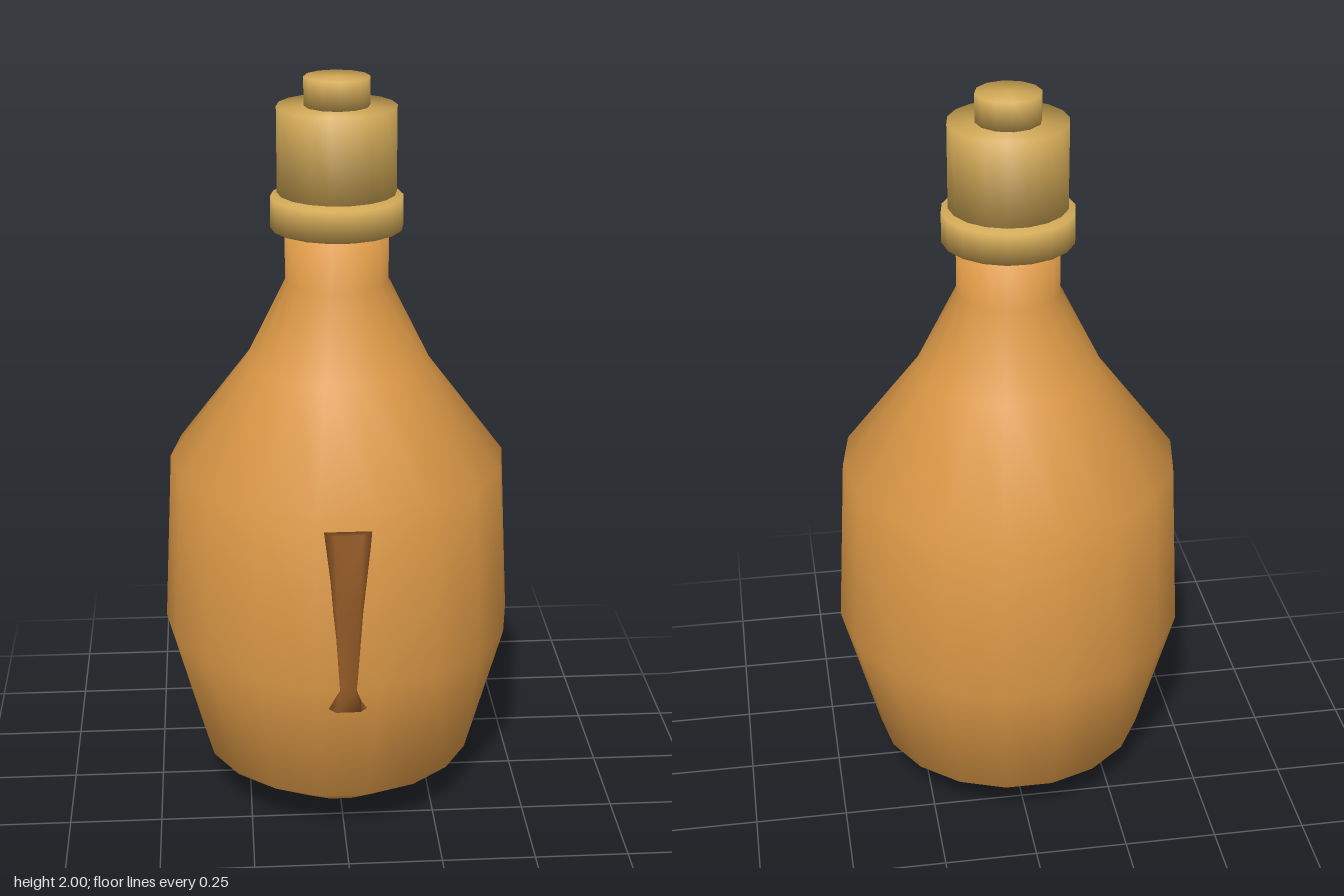
import * as THREE from 'three';

const material = (name, color, side = THREE.FrontSide) => {
  const m = new THREE.MeshStandardMaterial({ color, side });
  m.name = name;
  return m;
};

// Smooth turned part; a corner of the polygon lies on the x axis
function turned(name, profile, sides, mat) {
  const points = profile.map(([r, y]) => new THREE.Vector2(r, y));
  const start = Math.PI / 2;
  const mesh = new THREE.Mesh(new THREE.LatheGeometry(points, sides, start), mat);
  mesh.name = name;
  return mesh;
}

const drum = (r, y0, y1) => [[0, y0], [r, y0], [r, y1], [0, y1]];

// Raised mark lofted from trapezoid sections, wide at the back and narrow in front
function raisedMark(mat) {
  const sections = [[0.44, 0.058], [0.50, 0.036], [0.72, 0.05], [0.94, 0.065]];
  const back = 0.44, front = 0.47;
  const pos = [], index = [];
  for (const [y, w] of sections) {
    pos.push(-w, y, back, -w * 0.55, y, front, w * 0.55, y, front, w, y, back);
  }
  for (let i = 0; i < sections.length - 1; i++) {
    for (let j = 0; j < 4; j++) {
      const a = i * 4 + j, b = i * 4 + (j + 1) % 4;
      index.push(a, b, b + 4, a, b + 4, a + 4);
    }
  }
  const t = (sections.length - 1) * 4;
  index.push(0, 2, 1, 0, 3, 2, t, t + 1, t + 2, t, t + 2, t + 3);
  const geo = new THREE.BufferGeometry();
  geo.setAttribute('position', new THREE.Float32BufferAttribute(pos, 3));
  geo.setIndex(index);
  geo.computeVertexNormals();
  const mesh = new THREE.Mesh(geo, mat);
  mesh.name = 'frontMark';
  return mesh;
}

export function createModel() {
  const amber = material('amber glass', 0xdb9846);
  const cork = material('pale cork', 0xd2a957);
  const brown = material('dark brown', 0x935a27, THREE.DoubleSide);

  const bottle = new THREE.Group();
  bottle.name = 'bottle';

  // Body from base to neck
  bottle.add(turned('body', [
    [0, 0], [0.175, 0], [0.373, 0.13], [0.474, 0.505], [0.449, 0.98],
    [0.245, 1.25], [0.136, 1.47], [0.136, 1.605], [0, 1.605],
  ], 18, amber));

  // Neck collar, stopper and its knob
  bottle.add(turned('collar', drum(0.173, 1.61, 1.692), 18, cork));
  bottle.add(turned('stopper', drum(0.155, 1.702, 1.926), 18, cork));
  bottle.add(turned('stopperKnob', drum(0.085, 1.926, 2), 12, cork));

  bottle.add(raisedMark(brown));
  return bottle;
}
